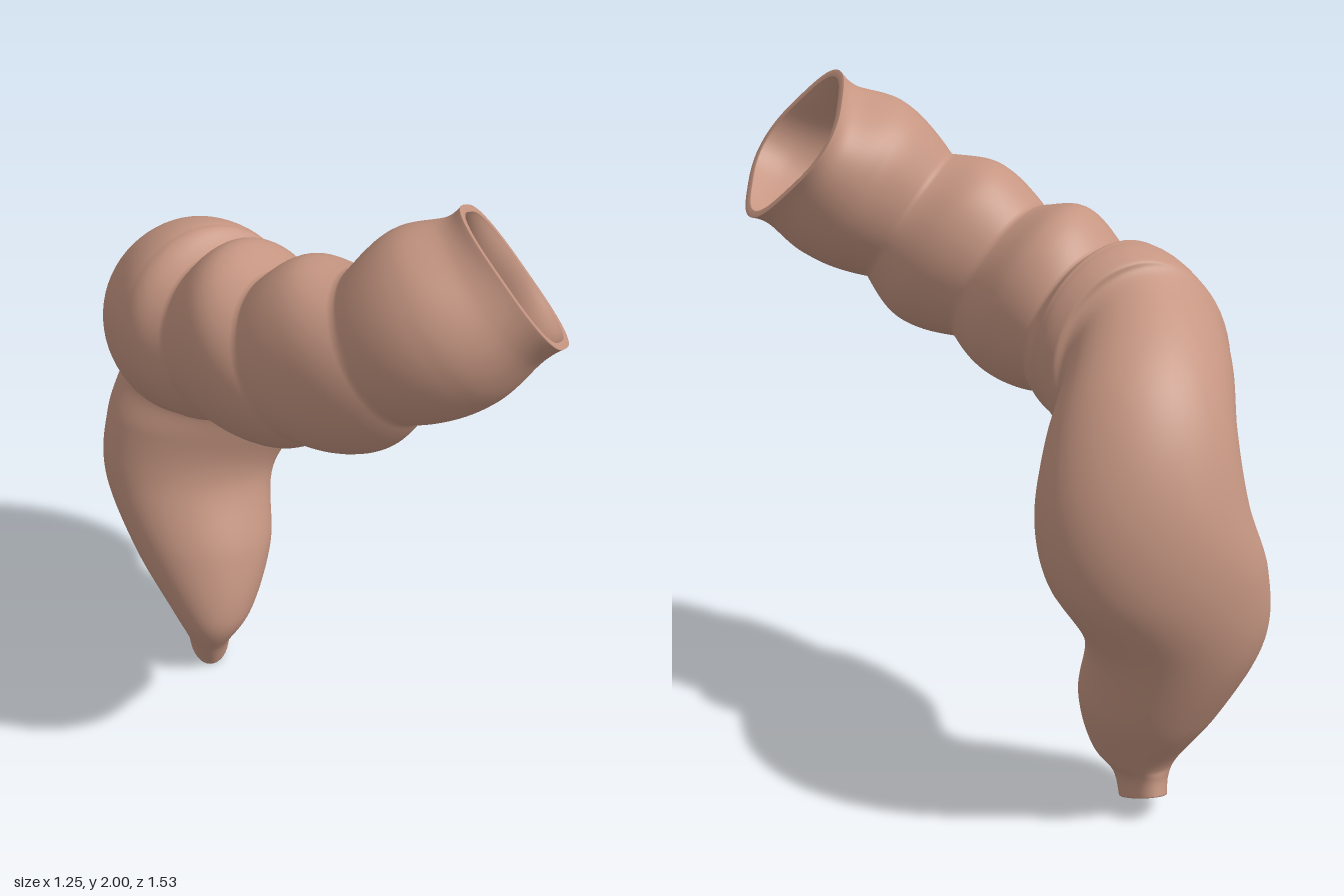
import * as THREE from 'three';

// Cross-sections from the narrow lower end to the wide upper opening:
// x, y, z, heading (deg), pitch (deg), half width, half height
const SECTIONS = [
  [-0.315, 0.045, -0.4, 0, 68, 0.063, 0.117],
  [-0.315, 0.11, -0.375, 0, 76, 0.075, 0.128],
  [-0.305, 0.2, -0.355, 0, 95, 0.13, 0.157],
  [-0.328, 0.38, -0.42, 0, 105, 0.212, 0.187],
  [-0.362, 0.6, -0.51, 0, 105, 0.26, 0.19],
  [-0.295, 0.8, -0.545, 0, 92, 0.312, 0.215],
  [-0.25, 0.985, -0.53, -5, 68, 0.295, 0.23],
  [-0.27, 1.16, -0.45, -8, 38, 0.265, 0.25],
  [-0.342, 1.27, -0.29, 0, 3, 0.243, 0.288],
  [-0.33, 1.305, -0.215, 8, 6, 0.262, 0.307],
  [-0.29, 1.35, -0.1, 22, 10, 0.265, 0.283],
  [-0.233, 1.365, 0.0, 33, 18, 0.23, 0.235],
  [-0.155, 1.415, 0.135, 40, 23, 0.247, 0.288],
  [-0.073, 1.445, 0.273, 45, 28, 0.208, 0.235],
  [0.04, 1.51, 0.372, 52, 30, 0.224, 0.28],
  [0.15, 1.58, 0.46, 62, 33, 0.203, 0.22],
  [0.3, 1.69, 0.507, 78, 35, 0.25, 0.265],
  [0.425, 1.768, 0.515, 88, 37, 0.24, 0.238],
  [0.478, 1.805, 0.515, 93, 37, 0.25, 0.25],
];
// Sections that are sharp folds
const CREASES = [8, 11, 13, 15];
const STEPS = 12, SIDES = 64, WALL = 0.022;

function catmull(a, b, c, d, t) {
  return 0.5 * (2 * b + (c - a) * t + (2 * a - 5 * b + 4 * c - d) * t * t
    + (3 * b - a - 3 * c + d) * t * t * t);
}

// Section at position s along the tube; radii kink at creases and round over between them
function sectionAt(s) {
  const last = SECTIONS.length - 1;
  const i = Math.min(Math.floor(s), last - 1), t = s - i;
  const at = (k) => SECTIONS[Math.max(0, Math.min(last, k))];
  const [a, b, c, d] = [at(i - 1), at(i), at(i + 1), at(i + 2)];
  return b.map((v, k) => {
    if (k > 4 && CREASES.includes(i)) return v + (c[k] - v) * Math.sin(t * Math.PI / 2);
    // the bend swells evenly into the first fold, the later pouches drop into theirs
    if (k > 4 && i + 1 === CREASES[0]) return v + (c[k] - v) * t;
    if (k > 4 && CREASES.includes(i + 1)) return v + (c[k] - v) * (1 - Math.cos(t * Math.PI / 2));
    return catmull(a[k], v, c[k], d[k], t);
  });
}

// One ring of points, shrunk by inset for the inner wall
function ring(s, inset, out) {
  const [x, y, z, heading, pitch, rw, rh] = sectionAt(s);
  const a = THREE.MathUtils.degToRad(heading), p = THREE.MathUtils.degToRad(pitch);
  const side = new THREE.Vector3(Math.cos(a), 0, -Math.sin(a));
  const up = new THREE.Vector3(-Math.sin(a) * Math.sin(p), Math.cos(p), -Math.cos(a) * Math.sin(p));
  // the opening becomes slightly square, rolled a little to one side
  const end = SECTIONS.length - 1;
  const square = 0.05 * THREE.MathUtils.smoothstep(s, end - 2.5, end);
  for (let j = 0; j < SIDES; j++) {
    const q = j / SIDES * Math.PI * 2;
    const k = 1 - square + square * Math.cos(4 * (q - 0.22));
    const point = new THREE.Vector3(x, y, z)
      .addScaledVector(side, Math.cos(q) * (rw * k - inset))
      .addScaledVector(up, Math.sin(q) * (rh * k - inset));
    out.push(point.x, point.y, point.z);
  }
}

export function createModel() {
  const group = new THREE.Group();
  group.name = 'intestineSection';
  const flesh = new THREE.MeshStandardMaterial({ color: 0xc69682 });
  flesh.name = 'flesh pink';

  // Outer wall up, inner wall back down, joined at both rims
  const count = (SECTIONS.length - 1) * STEPS;
  const positions = [], index = [];
  for (let i = 0; i <= count; i++) ring(i / STEPS, 0, positions);
  for (let i = count; i >= 0; i--) ring(i / STEPS, WALL, positions);
  const rings = 2 * (count + 1);
  for (let i = 0; i < rings; i++) {
    for (let j = 0; j < SIDES; j++) {
      const i2 = (i + 1) % rings, j2 = (j + 1) % SIDES;
      const a = i * SIDES + j, b = i * SIDES + j2, c = i2 * SIDES + j, d = i2 * SIDES + j2;
      index.push(a, b, c, b, d, c);
    }
  }
  const geometry = new THREE.BufferGeometry();
  geometry.setAttribute('position', new THREE.Float32BufferAttribute(positions, 3));
  geometry.setIndex(index);
  geometry.computeVertexNormals();

  const tube = new THREE.Mesh(geometry, flesh);
  tube.name = 'foldedTube';
  group.add(tube);
  return group;
}
